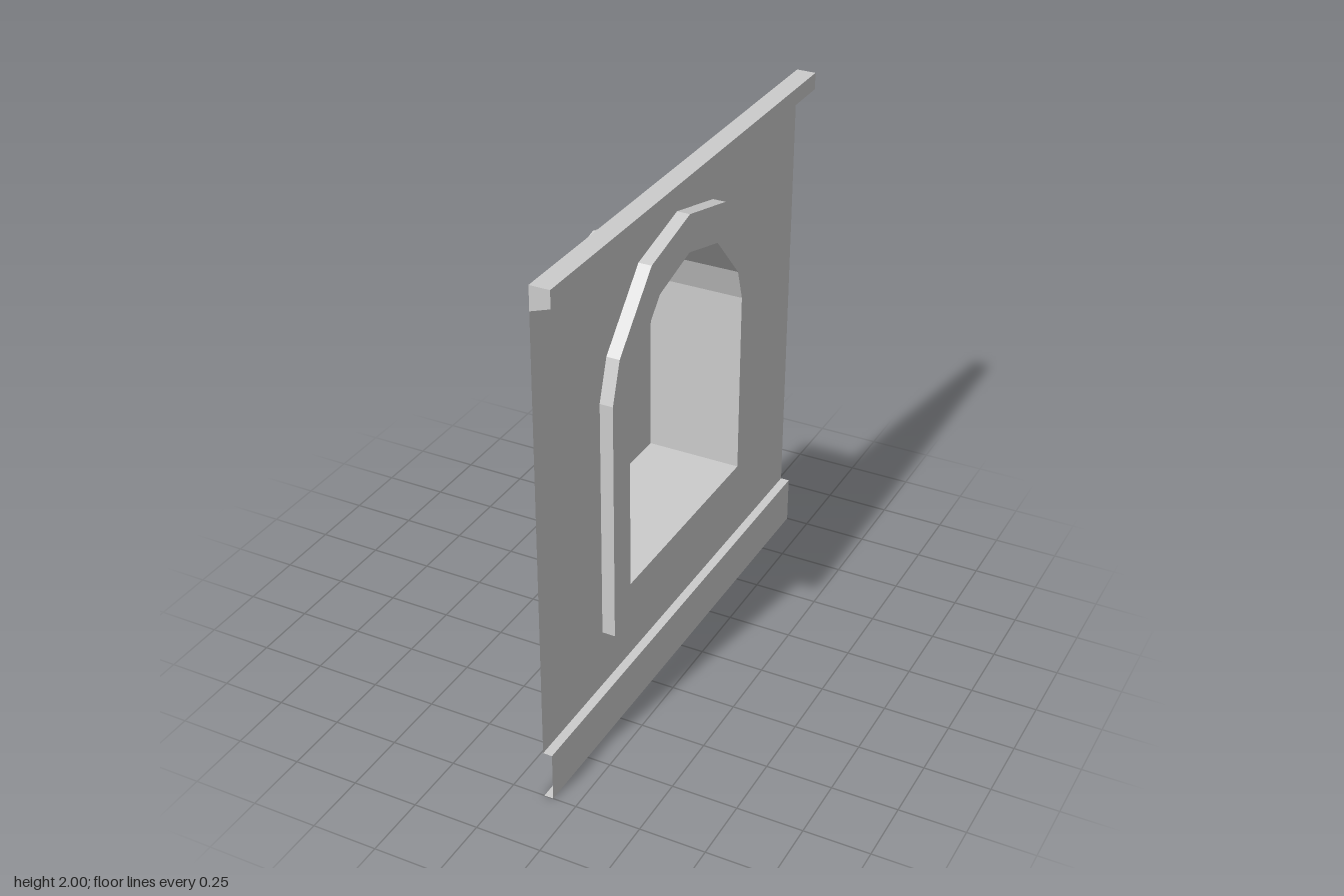
import * as THREE from 'three';

const material = new THREE.MeshStandardMaterial({
  color: 0xcccccc, flatShading: true, side: THREE.DoubleSide,
});

// Main depths along x
const BACK = -0.2, WALL = 0.125, FRAME = 0.175, SKIRT = 0.16, CORNICE = 0.2;

// Faceted arch outline, counter-clockwise, mirrored from its right half
function arch(half) {
  const left = half.slice(0, -1).reverse().map(([x, y]) => [-x, y]);
  return [...half, ...left].map(([x, y]) => new THREE.Vector2(x, y));
}

// Flat strips joining an outline at z0 to the same outline at z1
function sweep(points, z0, z1, closed) {
  const pos = [];
  const count = closed ? points.length : points.length - 1;
  for (let i = 0; i < count; i++) {
    const a = points[i], b = points[(i + 1) % points.length];
    pos.push(a.x, a.y, z0, b.x, b.y, z0, b.x, b.y, z1);
    pos.push(a.x, a.y, z0, b.x, b.y, z1, a.x, a.y, z1);
  }
  const g = new THREE.BufferGeometry();
  g.setAttribute('position', new THREE.Float32BufferAttribute(pos, 3));
  g.computeVertexNormals();
  return g;
}

// Flat panel with an optional hole
function panel(points, z, hole) {
  const shape = new THREE.Shape(points);
  if (hole) shape.holes.push(new THREE.Path(hole));
  return new THREE.ShapeGeometry(shape).translate(0, 0, z);
}

function add(group, name, geometry) {
  const mesh = new THREE.Mesh(geometry, material);
  mesh.name = name;
  group.add(mesh);
  return mesh;
}

const vecs = (list) => list.map(([x, y]) => new THREE.Vector2(x, y));

export function createModel() {
  const model = new THREE.Group();
  model.name = 'wallWithNiche';

  const outer = arch([[0.565, 0.42], [0.565, 1.36], [0.515, 1.515], [0.285, 1.76], [0, 1.83]]);
  const inner = arch([[0.445, 0.57], [0.445, 1.305], [0.405, 1.43], [0.225, 1.625], [0, 1.685]]);

  // Parts drawn facing +z, then turned to face +x
  const facing = new THREE.Group();
  facing.name = 'wallFace';
  facing.rotation.y = Math.PI / 2;
  model.add(facing);

  // Thin wall, cut out behind the frame
  add(facing, 'wall', panel(vecs([[-1, 0.19], [1, 0.19], [1, 1.91], [-1, 1.91]]), WALL, outer));

  // Raised arched frame, open at the back
  add(facing, 'frameFront', panel(outer, FRAME, inner));
  add(facing, 'frameEdge', sweep(outer, WALL, FRAME, true));

  // Deep recess
  add(facing, 'nicheSides', sweep(inner, FRAME, BACK - 0.004, true));
  add(facing, 'nicheBack', panel(inner, BACK - 0.004));

  // Cornice with a sloped underside, closed ends and open back
  const cornice = vecs([[WALL, 1.91], [CORNICE, 1.935], [CORNICE, 2], [WALL, 2]]);
  add(model, 'cornice', sweep(cornice, -1, 1, false));
  for (const z of [-1, 1]) add(model, 'corniceEnd', panel(cornice, z));

  // Skirting with open ends
  const skirting = vecs([[WALL, 0], [SKIRT, 0], [SKIRT, 0.19], [WALL, 0.19]]);
  add(model, 'skirting', sweep(skirting, -1, 1, false));

  return model;
}
